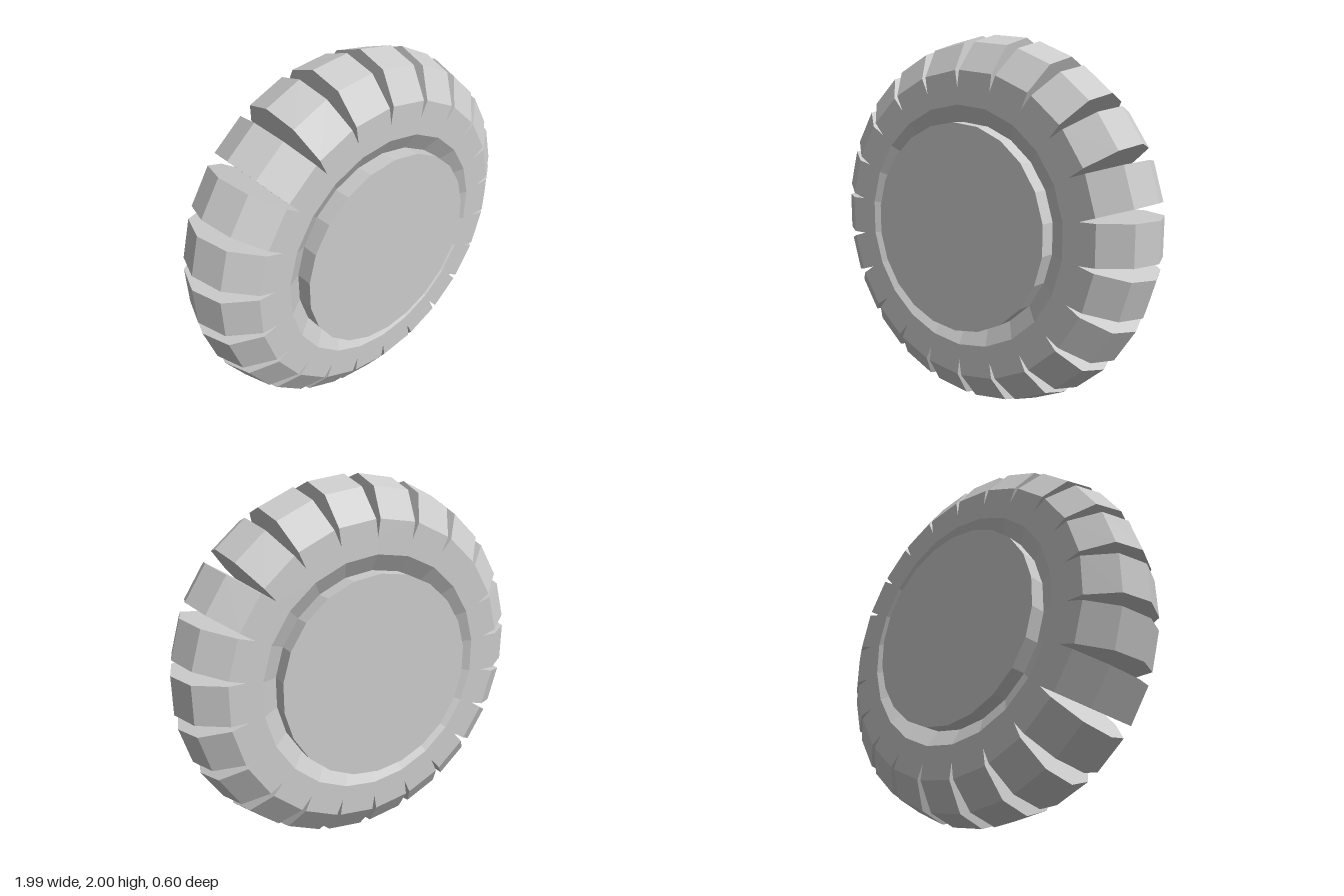
import * as THREE from 'three';

const SIDES = 22;          // tread blocks, and facets of every ring
const STEP = (Math.PI * 2) / SIDES;
const TIRE_R = 0.72;       // radius at the bottom of the grooves
const HALF_W = 0.265;      // half width of the tire

const material = new THREE.MeshStandardMaterial({ color: 0xcccccc, flatShading: true });

// One lug: its cross-section (radius, axial) extruded along the tangent.
function treadGeometry() {
  const base = TIRE_R * Math.cos(STEP / 2);
  const width = 2 * TIRE_R * Math.sin(STEP / 2);
  const profile = [
    [base, -HALF_W], [0.8, -HALF_W], [0.945, -0.165], [0.995, 0],
    [0.945, 0.165], [0.8, HALF_W], [base, HALF_W],
  ].map(([r, z]) => new THREE.Vector2(r, z));
  const geo = new THREE.ExtrudeGeometry(new THREE.Shape(profile), { depth: width, bevelEnabled: false });
  geo.translate(0, 0, -width / 2);
  return geo.rotateX(Math.PI / 2);
}

export function createModel() {
  const model = new THREE.Group();
  model.name = 'wheel';

  const add = (name, geo, parent) => {
    const mesh = new THREE.Mesh(geo, material);
    mesh.name = name;
    parent.add(mesh);
    return mesh;
  };

  // Everything turns about the axle, at height 1
  const wheel = new THREE.Group();
  wheel.name = 'wheelAssembly';
  wheel.position.y = 1;
  model.add(wheel);

  // Tire body with flat sidewalls and a bevel sloping in to the hub
  const tireProfile = [
    [0.545, -0.21], [0.635, -HALF_W], [TIRE_R, -HALF_W],
    [TIRE_R, HALF_W], [0.635, HALF_W], [0.545, 0.21],
  ].map(([r, z]) => new THREE.Vector2(r, z));
  add('tireBody', new THREE.LatheGeometry(tireProfile, SIDES).rotateX(Math.PI / 2), wheel);

  // Hub disc, standing slightly proud on both sides
  add('hubDisc', new THREE.CylinderGeometry(0.547, 0.547, 0.6, SIDES).rotateX(Math.PI / 2), wheel);

  // Ring of tread blocks
  const treads = new THREE.Group();
  treads.name = 'treads';
  wheel.add(treads);
  const geo = treadGeometry();
  for (let i = 0; i < SIDES; i++) {
    add('treadBlock', geo, treads).rotation.z = i * STEP;
  }

  return model;
}
